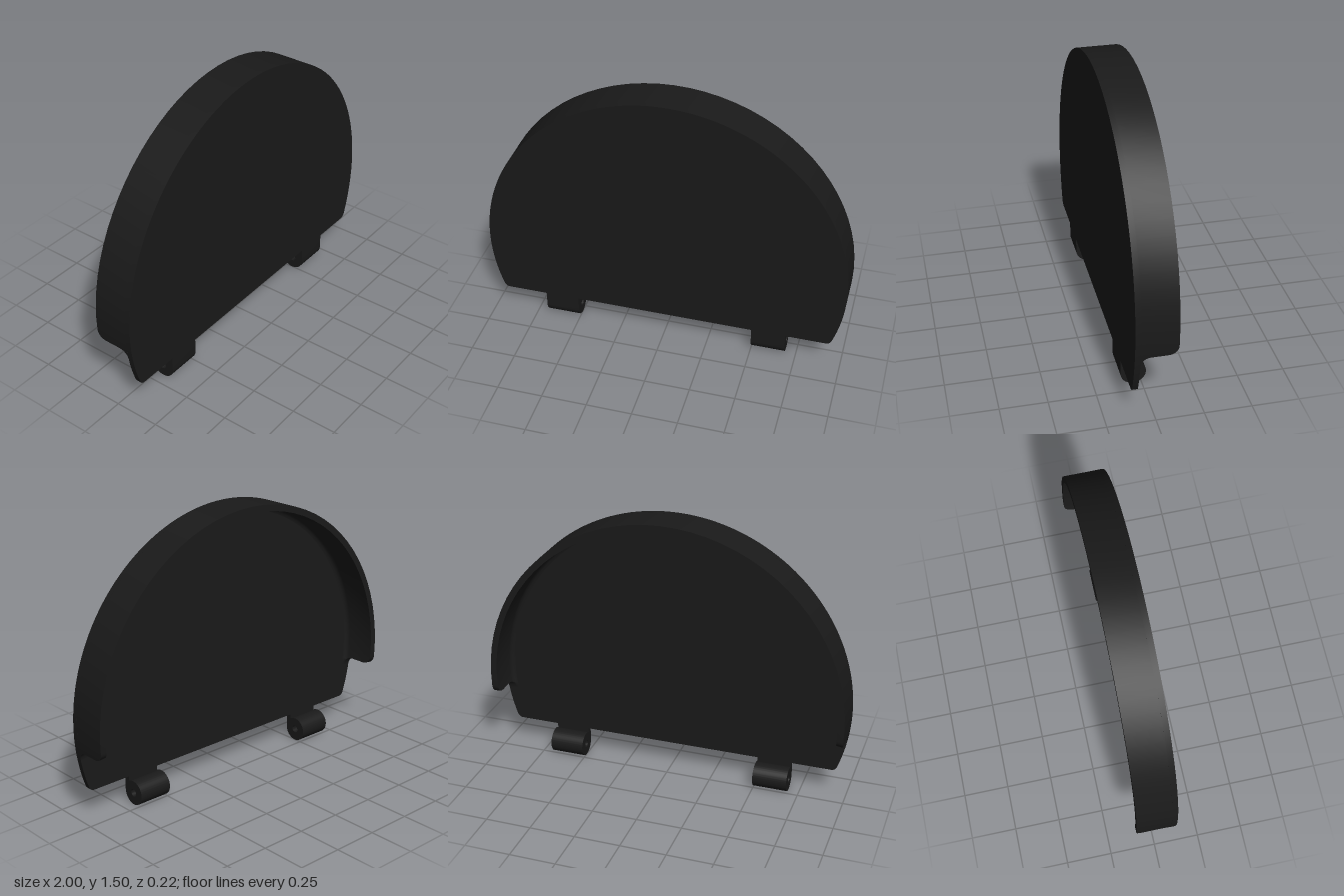
import * as THREE from 'three';
import { toCreasedNormals } from 'three/addons/utils/BufferGeometryUtils.js';

const CY = 0.505;                        // centre height of the round outline, radius 1
const FRONT = 0.11, INNER = 0.08, BACK = -0.11;
const WALL = 0.035, FILLET = 0.025;
const BOTTOM = 0.148;

const material = new THREE.MeshStandardMaterial({ color: 0x1a1a1a, side: THREE.DoubleSide });

function part(name, geometry, crease = 0.5) {
  const mesh = new THREE.Mesh(toCreasedNormals(geometry, crease), material);
  mesh.name = name;
  return mesh;
}

// Flat front panel: a disc cut off by a straight lower edge with softened corners
function panelGeometry() {
  const a = Math.asin(BOTTOM + 0.025 - CY);
  const x = Math.cos(Math.asin(BOTTOM - CY));
  const shape = new THREE.Shape();
  shape.absarc(0, CY, 1, a, Math.PI - a, false);
  shape.quadraticCurveTo(-x, BOTTOM, -x + 0.025, BOTTOM);
  shape.lineTo(x - 0.025, BOTTOM);
  shape.quadraticCurveTo(x, BOTTOM, Math.cos(a), CY + Math.sin(a));
  return new THREE.ExtrudeGeometry(shape, { depth: FRONT - INNER, bevelEnabled: false, curveSegments: 48 })
    .translate(0, 0, INNER);
}

// Rim wall: cross-sections swept round the outline, with rounded lower ends
function rimGeometry() {
  const r = 0.05, endY = 0.388, steps = 6;
  const stations = [];                   // [angle, z of the back edge]
  const add = (y, z) => stations.push([Math.asin(y - CY), z]);
  for (let i = 0; i <= steps; i++) {     // concave curve out of the panel
    const t = (i / steps) * Math.PI / 2;
    add(endY - r + r * Math.sin(t), INNER - r + r * Math.cos(t));
  }
  for (let i = 0; i <= steps; i++) {     // convex outer corner
    const t = (i / steps) * Math.PI / 2;
    add(endY + r - r * Math.cos(t), BACK + r - r * Math.sin(t));
  }
  const start = stations[stations.length - 1][0];
  const mirrored = stations.map(([a, z]) => [Math.PI - a, z]).reverse();
  const n = 40;
  for (let i = 1; i < n; i++) stations.push([start + (Math.PI - 2 * start) * i / n, BACK]);
  stations.push(...mirrored);

  const positions = [], index = [];
  const ri = 1 - WALL;
  for (const [a, zb] of stations) {
    const section = [[1, INNER], [1, zb], [ri, zb]];
    for (let k = 0; k <= 3; k++) {       // small fillet between wall and panel
      const t = (k / 3) * Math.PI / 2;
      section.push([ri - FILLET + FILLET * Math.cos(t),
        Math.max(zb, INNER - FILLET + FILLET * Math.sin(t))]);
    }
    for (const [rad, z] of section) positions.push(rad * Math.cos(a), CY + rad * Math.sin(a), z);
  }
  const m = 7;
  for (let i = 0; i < stations.length - 1; i++) {
    for (let j = 0; j < m - 1; j++) {
      const p = i * m + j, q = p + m;
      index.push(p, q, p + 1, q, q + 1, p + 1);
    }
  }
  const geometry = new THREE.BufferGeometry();
  geometry.setAttribute('position', new THREE.Float32BufferAttribute(positions, 3));
  geometry.setIndex(index);
  return geometry;
}

// Hinge knuckle: tab and bored barrel drawn in profile (z, y), extruded along x
function hingeGeometry(width) {
  const r = 0.067, cz = FRONT - r, cy = r;
  const a = Math.acos((INNER - cz) / r);
  const shape = new THREE.Shape();
  shape.moveTo(FRONT, BOTTOM);
  shape.lineTo(INNER, BOTTOM);
  shape.absarc(cz, cy, r, a, Math.PI * 2, false);
  shape.closePath();
  const bore = new THREE.Path();
  bore.absarc(cz, cy, 0.02, 0, Math.PI * 2, true);
  shape.holes.push(bore);
  return new THREE.ExtrudeGeometry(shape, { depth: width, bevelEnabled: false, curveSegments: 32 })
    .translate(0, 0, -width / 2)
    .rotateY(-Math.PI / 2);
}

export function createModel() {
  const model = new THREE.Group();
  model.name = 'hingedCover';
  model.add(part('frontPanel', panelGeometry()));
  model.add(part('rim', rimGeometry(), 0.6));
  for (const side of [1, -1]) {
    const hinge = part(side > 0 ? 'leftHinge' : 'rightHinge', hingeGeometry(0.19));
    hinge.position.x = side * 0.595;
    model.add(hinge);
  }
  return model;
}
